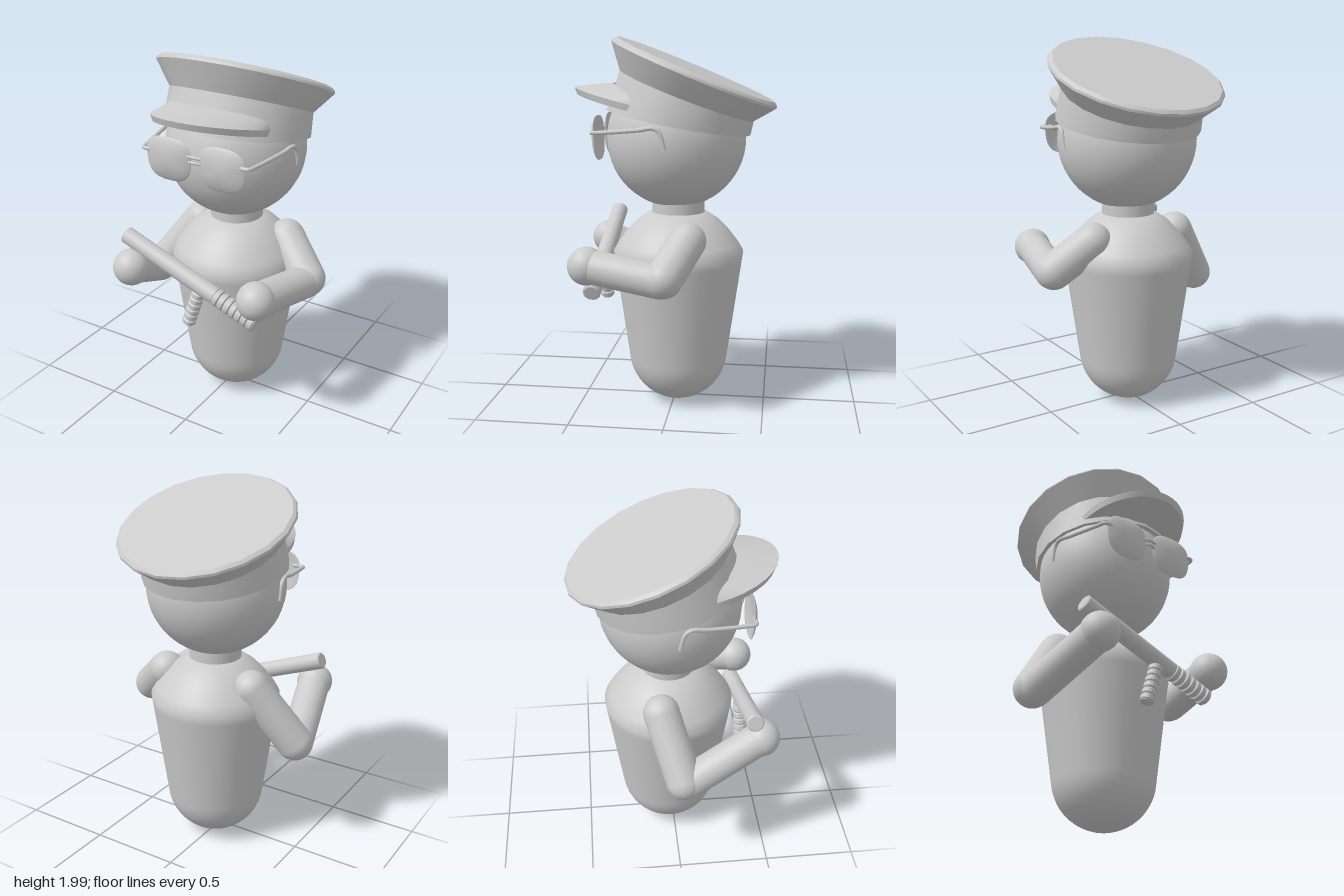
import * as THREE from 'three';
import { toCreasedNormals } from 'three/addons/utils/BufferGeometryUtils.js';

const V = (x, y, z) => new THREE.Vector3(x, y, z);
const grey = new THREE.MeshStandardMaterial({ color: 0xcccccc });
const greyDouble = new THREE.MeshStandardMaterial({ color: 0xcccccc, side: THREE.DoubleSide });

function add(parent, name, geometry, material = grey) {
  const mesh = new THREE.Mesh(geometry, material);
  mesh.name = name;
  parent.add(mesh);
  return mesh;
}

// Skin a list of equally long rows of points, with creased edges
function loft(rows, crease = 0.6) {
  const n = rows[0].length, pos = [], idx = [];
  rows.forEach(row => row.forEach(p => pos.push(p.x, p.y, p.z)));
  for (let i = 0; i < rows.length - 1; i++) {
    for (let j = 0; j < n - 1; j++) {
      const a = i * n + j, b = a + 1, c = a + n, d = c + 1;
      idx.push(a, b, d, a, d, c);
    }
  }
  const g = new THREE.BufferGeometry();
  g.setAttribute('position', new THREE.Float32BufferAttribute(pos, 3));
  g.setIndex(idx);
  return toCreasedNormals(g, crease);
}

const lathe = (pts, segments = 32) =>
  new THREE.LatheGeometry(pts.map(p => new THREE.Vector2(...p)), segments);

// Place a mesh built along +y so that it starts at a and points to b
function aim(mesh, a, b) {
  mesh.position.copy(a);
  mesh.quaternion.setFromUnitVectors(V(0, 1, 0), b.clone().sub(a).normalize());
  return mesh;
}

function limb(parent, name, a, b, r) {
  const length = a.distanceTo(b);
  const g = new THREE.CapsuleGeometry(r, length, 10, 24).translate(0, length / 2, 0);
  return aim(add(parent, name, g), a, b);
}

// Profile of a grip with evenly spaced rings
function gripProfile(length, r, rings) {
  const pts = [[0, 0]], s = length / rings;
  for (let i = 0; i < rings; i++) {
    pts.push([r * 0.82, i * s], [r, (i + 0.18) * s], [r, (i + 0.78) * s], [r * 0.82, (i + 0.95) * s]);
  }
  pts.push([r * 0.82, length], [0, length]);
  return pts;
}

function buildBody(parent) {
  const pts = [];
  for (let i = 0; i <= 12; i++) {
    const a = (i / 12) * 1.48;
    pts.push([0.272 * Math.sin(a), 0.28 - 0.272 * Math.cos(a)]);
  }
  pts.push([0.348, 0.8], [0.355, 0.85], [0.325, 0.9], [0.275, 0.965], [0.22, 1.02], [0.16, 1.06], [0.1, 1.075]);
  add(parent, 'body', lathe(pts, 40)).position.z = -0.02;
  add(parent, 'neck', new THREE.CylinderGeometry(0.142, 0.142, 0.14, 32)).position.set(0, 1.09, -0.02);
  add(parent, 'head', new THREE.SphereGeometry(0.372, 40, 28)).position.set(0, 1.464, -0.01);
}

function buildCap(parent) {
  const cap = new THREE.Group();
  cap.name = 'cap';
  parent.add(cap);
  // Tilted rings: radius, centre y, centre z, tilt
  const ring = ([r, y, z, tilt]) => Array.from({ length: 21 }, (_, i) => {
    const a = (i / 20) * Math.PI * 2, c = r * Math.cos(a);
    return V(r * Math.sin(a), y + c * Math.sin(tilt), z + c * Math.cos(tilt));
  });
  const rings = [
    [0.36, 1.56, -0.02, 0.18], [0.39, 1.55, -0.02, 0.18], [0.38, 1.69, -0.065, 0.365],
    [0.47, 1.8, -0.103, 0.39], [0.467, 1.812, -0.109, 0.39], [0.45, 1.825, -0.115, 0.39], [0.001, 1.825, -0.115, 0.39],
  ];
  add(cap, 'capCrown', loft(rings.map(ring)), greyDouble);

  // Arched visor, lofted from underside to top
  const row = f => Array.from({ length: 25 }, (_, i) => {
    const a = (i / 24 - 0.5) * Math.PI;
    return f(Math.sin(a), Math.cos(a));
  });
  const base = (s, y) => V(0.3 * s, y, -0.03 + Math.sqrt(0.1225 - 0.09 * s * s));
  add(cap, 'visor', loft([
    row((s, c) => base(s, 1.62 + 0.01 * c)),
    row((s, c) => V(0.307 * s, 1.615 + 0.085 * c, 0.18 + 0.343 * c)),
    row((s, c) => V(0.312 * s, 1.65 + 0.085 * c, 0.18 + 0.355 * c)),
    row((s, c) => base(s, 1.665 + 0.09 * c)),
  ]), greyDouble);
}

function buildGlasses(parent) {
  const glasses = new THREE.Group();
  glasses.name = 'glasses';
  parent.add(glasses);
  const tube = (name, pts, r) =>
    add(glasses, name, new THREE.TubeGeometry(new THREE.CatmullRomCurve3(pts), 40, r, 8));
  for (const side of [-1, 1]) {
    // Lens: flattened sphere with a squarish outline, bowed forward
    const g = new THREE.SphereGeometry(1, 36, 24).rotateX(Math.PI / 2);
    const p = g.attributes.position;
    for (let i = 0; i < p.count; i++) {
      const x = p.getX(i), y = p.getY(i), r = Math.hypot(x, y) || 1e-6;
      const k = Math.pow(Math.abs(x / r) ** 2.8 + Math.abs(y / r) ** 2.8, -1 / 2.8);
      p.setXYZ(i, x * k * 0.132 * (1 + 0.06 * y), y * k * 0.116, p.getZ(i) * 0.01 - 0.022 * r * r + 0.006 * y);
    }
    g.computeVertexNormals();
    add(glasses, 'lens', g).position.set(side * 0.155, 1.475, 0.402);
    // Temple with hooked ear end
    tube('temple', [
      V(side * 0.25, 1.51, 0.385), V(side * 0.305, 1.51, 0.385), V(side * 0.318, 1.512, 0.34),
      V(side * 0.358, 1.53, 0.14), V(side * 0.37, 1.54, 0.06), V(side * 0.372, 1.52, 0.03), V(side * 0.372, 1.43, 0.005),
    ], 0.011);
  }
  for (const [y, w] of [[1.51, 0.045], [1.482, 0.032]]) {
    tube('bridge', [V(-w, y, 0.385), V(0, y + 0.004, 0.395), V(w, y, 0.385)], 0.008);
  }
}

function buildArm(parent, name, shoulder, elbow, hand) {
  const arm = new THREE.Group();
  arm.name = name;
  parent.add(arm);
  limb(arm, 'upperArm', shoulder, elbow.clone().add(V(0, 0.01, -0.02)), 0.098);
  limb(arm, 'forearm', elbow, hand, 0.09);
  add(arm, 'hand', new THREE.SphereGeometry(0.1, 28, 20)).position.copy(hand);
}

function buildBaton(parent) {
  const baton = new THREE.Group();
  baton.name = 'baton';
  parent.add(baton);
  const start = V(-0.43, 0.99, 0.39), end = V(0.375, 0.685, 0.39);
  const grip = start.clone().lerp(end, 0.7), joint = start.clone().lerp(end, 0.59);
  const shaft = start.distanceTo(grip);
  const rod = (name, pts, a, b) =>
    aim(add(baton, name, toCreasedNormals(lathe(pts, 24), 0.5)), a, b);
  rod('batonShaft', [[0, 0], [0.04, 0], [0.046, 0.006], [0.046, shaft], [0, shaft]], start, end);
  rod('batonGrip', gripProfile(grip.distanceTo(end), 0.047, 7), grip, end);
  // Side handle at right angles to the shaft
  rod('sideHandle', gripProfile(0.26, 0.037, 7), joint, joint.clone().add(V(-0.305, -0.9, 0)));
}

export function createModel() {
  const model = new THREE.Group();
  model.name = 'officerFigure';
  const figure = new THREE.Group();
  figure.name = 'figure';
  figure.position.x = 0.016;
  model.add(figure);
  buildBody(figure);
  buildCap(figure);
  buildGlasses(figure);
  buildArm(model, 'rightArm', V(-0.25, 0.95, -0.08), V(-0.465, 0.637, 0.04), V(-0.365, 0.833, 0.44));
  buildArm(model, 'leftArm', V(0.285, 0.955, -0.1), V(0.465, 0.785, 0.02), V(0.385, 0.833, 0.41));
  buildBaton(model);
  return model;
}
